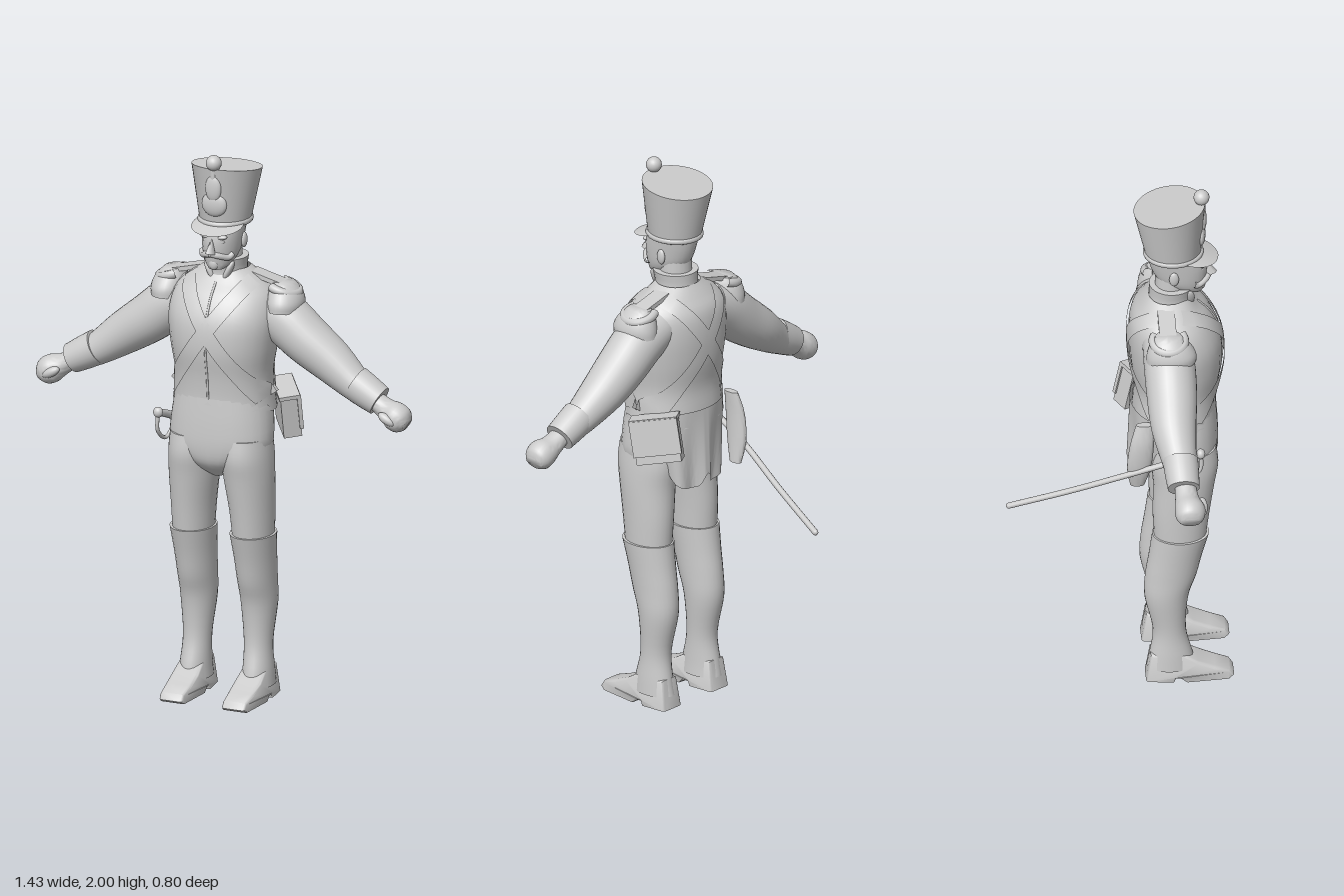
import * as THREE from 'three';
import { mergeVertices, toCreasedNormals } from 'three/addons/utils/BufferGeometryUtils.js';

const grey = new THREE.MeshStandardMaterial({ color: 0xcccccc });
const cloth = new THREE.MeshStandardMaterial({ color: 0xcccccc, side: THREE.DoubleSide });
const V = (x, y, z) => new THREE.Vector3(x, y, z);

// Surface from a rule f(u, v) -> [x, y, z]
function grid(nu, nv, f, crease = 0.9) {
  const pos = [], idx = [];
  for (let j = 0; j <= nv; j++) for (let i = 0; i <= nu; i++) pos.push(...f(i / nu, j / nv));
  for (let j = 0; j < nv; j++) for (let i = 0; i < nu; i++) {
    const a = j * (nu + 1) + i, c = a + nu + 1;
    idx.push(a, a + 1, c, a + 1, c + 1, c);
  }
  const g = new THREE.BufferGeometry();
  g.setAttribute('position', new THREE.Float32BufferAttribute(pos, 3));
  g.setIndex(idx);
  return toCreasedNormals(mergeVertices(g, 1e-5), crease);
}

// Catmull-Rom refinement of table rows
function refine(rows, k = 4) {
  const out = [], at = i => rows[Math.min(Math.max(i, 0), rows.length - 1)];
  for (let i = 0; i < rows.length - 1; i++) for (let s = 0; s < k; s++) {
    const t = s / k;
    out.push(rows[i].map((b, n) => {
      const a = at(i - 1)[n], c = at(i + 1)[n], d = at(i + 2)[n];
      return b + 0.5 * t * (c - a + t * (2 * a - 5 * b + 4 * c - d + t * (3 * (b - c) + d - a)));
    }));
  }
  return [...out, rows[rows.length - 1]];
}

// Rounded body through rows [x, y, z, sideRadius, depthRadius]
function loft(table, { follow = false, caps = true, pow = 1, k = 4 } = {}) {
  const rows = refine(table, k);
  const rings = rows.map((r, i) => {
    const a = rows[Math.max(i - 1, 0)], b = rows[Math.min(i + 1, rows.length - 1)];
    const t = follow ? V(b[0] - a[0], b[1] - a[1], 0).normalize() : V(0, 1, 0);
    return { r, ux: t.y, uy: -t.x, s: 1 };
  });
  if (caps) {
    rings.unshift({ ...rings[0], s: 0 });
    rings.push({ ...rings[rings.length - 1], s: 0 });
  }
  const round = w => Math.sign(w) * Math.abs(w) ** pow;
  return grid(28, rings.length - 1, (u, v) => {
    const { r, ux, uy, s } = rings[Math.round(v * (rings.length - 1))], a = -(u % 1) * Math.PI * 2;
    const c = round(Math.cos(a)) * r[3] * s, d = round(Math.sin(a)) * r[4] * s;
    return [r[0] + ux * c, r[1] + uy * c, r[2] + d];
  });
}

function warp(g, f) {
  const p = g.attributes.position, v = V(0, 0, 0);
  for (let i = 0; i < p.count; i++) {
    v.fromBufferAttribute(p, i);
    f(v);
    p.setXYZ(i, v.x, v.y, v.z);
  }
  return g;
}

// Mirrored copy across x with corners reordered
function mirror(g) {
  const m = mergeVertices(g.clone().scale(-1, 1, 1)), ix = m.index;
  for (let i = 0; i < ix.count; i += 3) {
    const a = ix.getX(i);
    ix.setX(i, ix.getX(i + 1));
    ix.setX(i + 1, a);
  }
  return m;
}

const ball = (x, y, z, a, b, c, tilt = 0) =>
  new THREE.SphereGeometry(1, 20, 14).scale(a, b, c).rotateZ(tilt).translate(x, y, z);
const tube = (pts, r, n = 24) =>
  new THREE.TubeGeometry(new THREE.CatmullRomCurve3(pts.map(p => V(...p))), n, r, 10);

// Jacket rows [y, half width, back z, front z]
const JACKET = refine([
  [1.06, 0.185, 0.05, 0.347], [1.12, 0.178, 0.055, 0.345], [1.2, 0.175, 0.06, 0.352],
  [1.3, 0.19, 0.045, 0.368], [1.4, 0.2, 0.04, 0.362], [1.48, 0.185, 0.05, 0.325],
  [1.53, 0.14, 0.08, 0.28], [1.57, 0.08, 0.11, 0.25]]);
const POW = 0.9;

function jacketZ(x, y, side) {
  let i = 0;
  while (i < JACKET.length - 2 && JACKET[i + 1][0] < y) i++;
  const a = JACKET[i], b = JACKET[i + 1], t = Math.min(Math.max((y - a[0]) / (b[0] - a[0]), 0), 1);
  const [, w, back, front] = a.map((q, n) => q + (b[n] - q) * t);
  const h = Math.max(0, 1 - Math.min(1, Math.abs(x) / w) ** (2 / POW)) ** (POW / 2);
  return (back + front) / 2 + side * ((front - back) / 2 * h + 0.008);
}

export function createModel() {
  const model = new THREE.Group();
  const add = (name, g, mat = grey) => {
    const m = new THREE.Mesh(g, mat);
    m.name = name;
    model.add(m);
    return m;
  };
  const pair = (name, g, mat) => {
    add(name + 'Left', g, mat);
    add(name + 'Right', mirror(g), mat);
  };

  // Trousers
  add('trouserSeat', loft([[0, 0.82, 0.22, 0.03, 0.06], [0, 0.87, 0.225, 0.12, 0.11], [0, 0.93, 0.23, 0.183, 0.122],
    [0, 1.02, 0.22, 0.186, 0.132], [0, 1.12, 0.21, 0.17, 0.135]], { pow: 0.9 }));
  pair('trouserLeg', loft([[0.098, 0.97, 0.23, 0.086, 0.11], [0.1, 0.9, 0.23, 0.09, 0.118], [0.105, 0.82, 0.227, 0.087, 0.108],
    [0.112, 0.7, 0.217, 0.077, 0.1], [0.115, 0.58, 0.212, 0.07, 0.09]].reverse()));

  // Tall gaiters and shoes
  pair('gaiter', loft([[0.12, 0.045, 0.18, 0.056, 0.085], [0.12, 0.1, 0.18, 0.053, 0.075], [0.117, 0.2, 0.175, 0.05, 0.058],
    [0.116, 0.34, 0.165, 0.063, 0.077], [0.115, 0.43, 0.18, 0.067, 0.09], [0.115, 0.52, 0.197, 0.072, 0.094],
    [0.115, 0.61, 0.215, 0.08, 0.1]]));
  const sole = new THREE.Shape([[0.1, 0], [0.185, 0], [0.19, 0.02], [0.215, 0.02], [0.235, 0], [0.38, 0], [0.39, 0.012],
    [0.38, 0.028], [0.33, 0.045], [0.27, 0.07], [0.22, 0.1], [0.115, 0.1]].map(p => new THREE.Vector2(...p)));
  const shoe = new THREE.ExtrudeGeometry(sole, { depth: 0.08, bevelThickness: 0.018, bevelSize: 0.008, bevelSegments: 3 });
  shoe.rotateY(-Math.PI / 2).translate(0.04, 0, 0);
  warp(shoe, v => {
    const toe = Math.max(0, (v.z - 0.28) / 0.12), heel = Math.max(0, (0.2 - v.z) / 0.1);
    v.x = 0.12 + v.x * (1 - 0.25 * toe - 0.2 * heel) * (1 - 2.5 * Math.max(0, v.y - 0.02));
    v.y = Math.max(0, v.y);
  });
  pair('shoe', toCreasedNormals(shoe, 0.7));

  // Jacket with a notched front hem
  const jacket = loft(JACKET.map(([y, w, b, f]) => [0, y, (b + f) / 2, w, (f - b) / 2]), { caps: false, pow: POW, k: 1 });
  add('jacket', warp(jacket, v => {
    const ax = Math.abs(v.x);
    if (v.y < 1.065 && v.z > 0.2) v.y += 0.05 * Math.max(0, 1 - ax / 0.06) + 0.4 * Math.max(0, ax - 0.1);
  }), cloth);
  add('frontSeam', tube([1.12, 1.2, 1.3, 1.4, 1.48, 1.53].map(y => [0, y, jacketZ(0, y, 1) - 0.008]), 0.004));

  // Pleated coat tails
  add('coatTails', grid(60, 12, (u, v) => {
    const s = 2 * u - 1, a = s * 1.35;
    const low = 0.825 + 0.19 * s ** 4 + 0.05 * Math.exp(-((s / 0.1) ** 2));
    const r = 1 + 0.08 * v * Math.cos(a * 9);
    return [-0.185 * Math.sin(a) * (1 - 0.2 * v) * r, low + (1.12 - low) * (1 - v), 0.19 - 0.145 * Math.cos(a) * r];
  }), cloth);

  // Crossed belts, front and back
  for (const side of [1, -1]) for (const dir of [1, -1]) {
    add('crossBelt', grid(4, 30, (u, v) => {
      const w = (u - 0.5) * 0.056;
      const y = 1.54 - 0.42 * v + w * 0.58;
      const x = dir * (0.12 - 0.3 * v - w * 0.82);
      return [x, y, jacketZ(x, y, side)];
    }), cloth);
  }

  // Collar and epaulettes
  add('collar', loft([[0, 1.525, 0.185, 0.092, 0.085], [0, 1.56, 0.187, 0.074, 0.076], [0, 1.61, 0.192, 0.08, 0.08]]));
  pair('collarFlap', ball(0.035, 1.565, 0.25, 0.012, 0.045, 0.02, -0.45));
  pair('shoulderStrap', new THREE.BoxGeometry(0.13, 0.016, 0.06).rotateZ(-0.25).translate(0.155, 1.535, 0.165));
  pair('epaulette', loft([[0.222, 1.435, 0.175, 0.062, 0.088], [0.222, 1.465, 0.175, 0.064, 0.086],
    [0.218, 1.5, 0.17, 0.055, 0.07], [0.21, 1.53, 0.165, 0.035, 0.045]]));
  pair('epauletteCrescent', new THREE.TorusGeometry(0.055, 0.016, 10, 24, Math.PI * 1.3).rotateZ(-Math.PI * 0.65)
    .rotateX(Math.PI / 2).rotateZ(-0.3).translate(0.21, 1.51, 0.167));

  // Sleeves, cuffs and fists
  const arm = { follow: true };
  pair('sleeve', loft([[0.13, 1.44, 0.165, 0.08, 0.085], [0.21, 1.4, 0.17, 0.092, 0.09], [0.3, 1.33, 0.172, 0.088, 0.088],
    [0.4, 1.26, 0.172, 0.077, 0.078], [0.5, 1.19, 0.185, 0.058, 0.06], [0.57, 1.16, 0.195, 0.05, 0.052]], arm));
  pair('cuff', loft([[0.495, 1.2, 0.188, 0.063, 0.062], [0.54, 1.175, 0.19, 0.06, 0.06], [0.59, 1.148, 0.193, 0.054, 0.056]], arm));
  pair('fist', loft([[0.57, 1.155, 0.198, 0.032, 0.036], [0.62, 1.125, 0.203, 0.038, 0.042], [0.655, 1.108, 0.21, 0.05, 0.053],
    [0.685, 1.09, 0.21, 0.046, 0.05], [0.703, 1.08, 0.21, 0.026, 0.034]], arm));
  pair('thumb', ball(0.645, 1.105, 0.255, 0.036, 0.017, 0.018, -0.5));

  // Neck, head and face
  add('neck', new THREE.CylinderGeometry(0.055, 0.06, 0.13, 20).translate(0, 1.6, 0.19));
  add('head', loft([[0, 1.582, 0.272, 0.028, 0.028], [0, 1.6, 0.25, 0.047, 0.055], [0, 1.635, 0.227, 0.062, 0.085],
    [0, 1.69, 0.215, 0.07, 0.1], [0, 1.75, 0.2, 0.076, 0.1]]));
  add('nose', new THREE.ConeGeometry(0.018, 0.06, 8).scale(1, 1, 1.5).rotateX(-0.25).translate(0, 1.675, 0.317));
  pair('brow', ball(0.03, 1.703, 0.297, 0.022, 0.008, 0.012, 0.1));
  pair('eye', ball(0.03, 1.687, 0.294, 0.012, 0.008, 0.01));
  pair('ear', ball(0.071, 1.672, 0.195, 0.01, 0.028, 0.017));
  pair('moustache', tube([[0, 1.645, 0.322], [0.025, 1.638, 0.31], [0.05, 1.628, 0.28], [0.058, 1.638, 0.265]], 0.011));
  add('beard', ball(0, 1.602, 0.297, 0.018, 0.022, 0.013));

  // Tall flared cap with peak, plate and pompom
  const cap = new THREE.CylinderGeometry(0.125, 0.088, 0.2, 40).translate(0, 1.835, 0);
  add('cap', warp(cap, v => {
    const t = (v.y - 1.735) / 0.2;
    v.y += v.z * 0.14 * t;
    v.z = v.z * (1.1 - 0.1 * t) + 0.197 - 0.014 * t;
  }));
  add('capBand', new THREE.TorusGeometry(0.09, 0.007, 8, 40).rotateX(Math.PI / 2).scale(1, 1.5, 1.1).translate(0, 1.745, 0.197));
  add('peak', grid(20, 5, (u, v) => {
    const a = (u - 0.5) * 2.5, r = 0.09 + 0.068 * v * Math.cos(a / 1.25 * Math.PI / 2);
    return [Math.sin(a) * r, 1.748 - 0.4 * (r - 0.09), 0.197 + Math.cos(a) * r];
  }), cloth);
  add('capPlate', ball(0, 1.82, 0.292, 0.048, 0.045, 0.018));
  add('capPlateTop', ball(0, 1.88, 0.3, 0.03, 0.05, 0.014));
  add('pompomStem', new THREE.CylinderGeometry(0.012, 0.012, 0.06, 12).translate(0, 1.935, 0.298));
  add('pompom', ball(0, 1.972, 0.296, 0.028, 0.028, 0.028));

  // Cartridge pouch on the left hip
  const pouch = new THREE.Group();
  pouch.name = 'cartridgePouch';
  for (const [name, size, x, y] of [['pouchBox', [0.065, 0.15, 0.16], 0, -0.005], ['pouchFlap', [0.014, 0.13, 0.172], 0.033, 0.015],
    ['pouchLid', [0.075, 0.014, 0.172], 0, 0.077]]) {
    const m = new THREE.Mesh(new THREE.BoxGeometry(...size), grey);
    m.name = name;
    m.position.set(x, y, 0);
    pouch.add(m);
  }
  pouch.position.set(0.192, 1.045, 0.098);
  pouch.rotation.set(0.2, 0.6, 0, 'XYZ');
  model.add(pouch);

  // Sabre, guard and frog on the right hip
  add('sabreFrog', loft([[-0.165, 0.86, 0.06, 0.014, 0.025], [-0.177, 0.94, 0.065, 0.02, 0.042],
    [-0.18, 1.04, 0.075, 0.02, 0.042], [-0.17, 1.12, 0.085, 0.014, 0.03]]));
  add('scabbard', tube([[-0.212, 0.99, 0.2], [-0.19, 0.925, 0.04], [-0.145, 0.83, -0.17], [-0.1, 0.742, -0.385]], 0.011).scale(1, 1, 1));
  add('scabbardTip', ball(-0.1, 0.742, -0.385, 0.01, 0.011, 0.011));
  add('sabreGrip', tube([[-0.208, 0.985, 0.185], [-0.216, 1.005, 0.23], [-0.222, 1.02, 0.275]], 0.014));
  add('sabrePommel', ball(-0.222, 1.022, 0.278, 0.018, 0.019, 0.016));
  add('sabreGuard', tube([[-0.222, 1.02, 0.28], [-0.225, 0.955, 0.275], [-0.218, 0.915, 0.225], [-0.21, 0.94, 0.19], [-0.208, 0.995, 0.182]], 0.007));
  return model;
}
